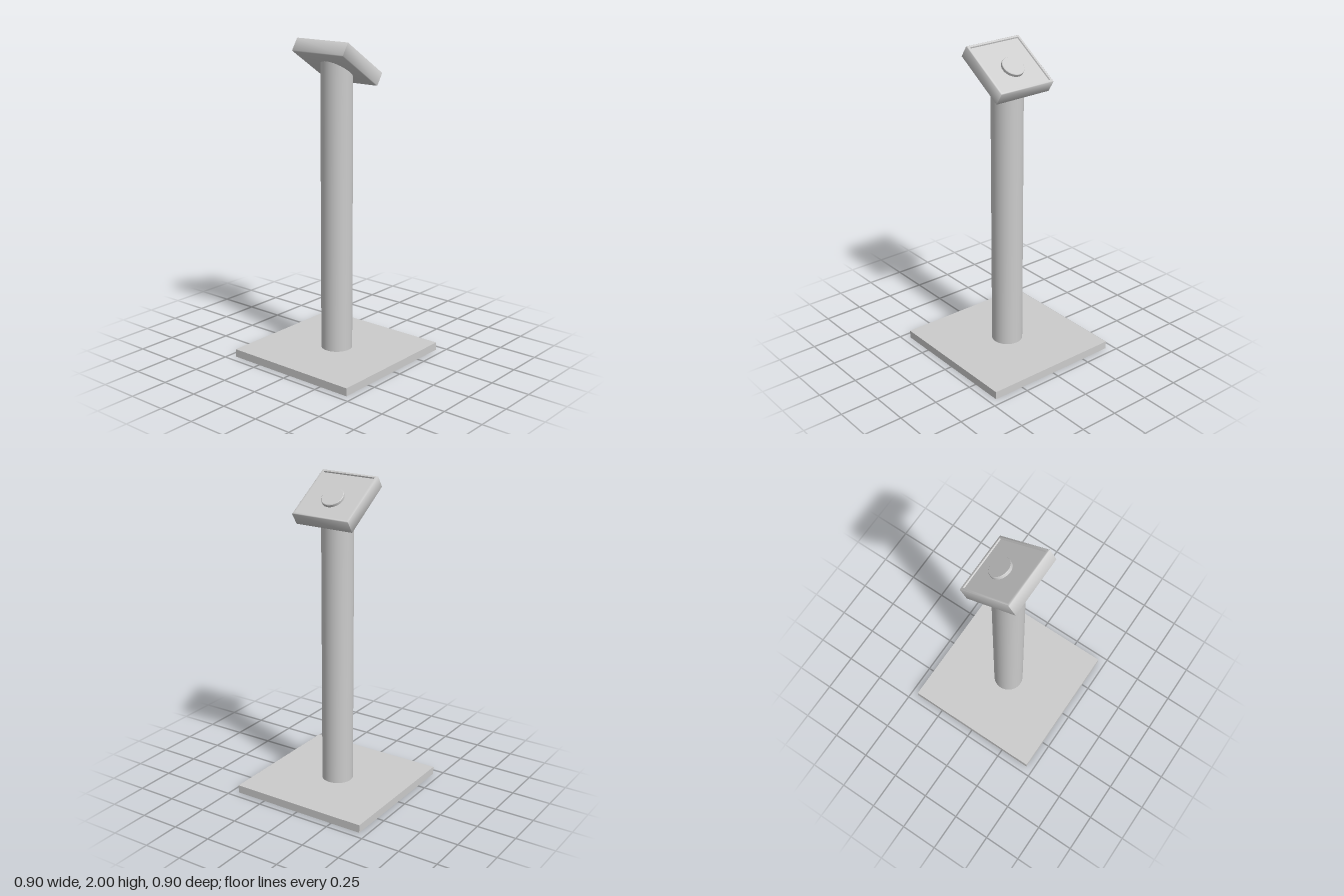
import * as THREE from 'three';
import { toCreasedNormals } from 'three/addons/utils/BufferGeometryUtils.js';

const TILT = THREE.MathUtils.degToRad(33);

// Turned profile of [half width, height] pairs, listed from bottom to top.
// With four sides the half width is that of a square.
function turned(profile, sides, crease = 0.9) {
  const k = sides === 4 ? Math.SQRT2 : 1;
  const points = profile.map(([r, y]) => new THREE.Vector2(r * k, y));
  const geometry = new THREE.LatheGeometry(points, sides, Math.PI / 4);
  return toCreasedNormals(geometry, crease);
}

export function createModel() {
  const model = new THREE.Group();
  model.name = 'buttonPedestal';
  const grey = new THREE.MeshStandardMaterial({ color: 0xcccccc });
  const greyThin = new THREE.MeshStandardMaterial({ color: 0xcccccc, side: THREE.DoubleSide });

  const add = (parent, name, geometry, material = grey) => {
    const mesh = new THREE.Mesh(geometry, material);
    mesh.name = name;
    parent.add(mesh);
    return mesh;
  };

  // Square foot plate: a shallow shell, open underneath
  add(model, 'basePlate', turned([[0.452, 0], [0.452, 0.05], [0, 0.05]], 4), greyThin);

  // Round column, its top cut on the slant inside the head
  const columnGeometry = new THREE.CylinderGeometry(0.098, 0.098, 1.8, 48);
  const p = columnGeometry.attributes.position;
  for (let i = 0; i < p.count; i++) {
    p.setY(i, p.getY(i) > 0 ? 1.83 - Math.tan(TILT) * p.getX(i) : 0.043);
  }
  add(model, 'column', toCreasedNormals(columnGeometry, 0.5));

  // Tilted head
  const head = new THREE.Group();
  head.name = 'head';
  head.position.set(0.005, 1.857, 0);
  head.rotation.z = -TILT;
  model.add(head);

  // Square housing with softened edges and a shallow recess in its top
  const housing = add(head, 'housing', turned([
    [0, -0.045], [0.187, -0.045], [0.192, -0.04],
    [0.192, 0.041], [0.188, 0.045],
    [0.176, 0.045], [0.173, 0.037], [0, 0.037],
  ], 4));
  housing.scale.z = 1.015;

  // Round push button, set slightly towards the low edge
  const button = add(head, 'button', turned([
    [0.07, 0.03], [0.07, 0.053], [0.067, 0.056], [0, 0.056],
  ], 40, 0.6));
  button.position.x = 0.026;

  return model;
}
